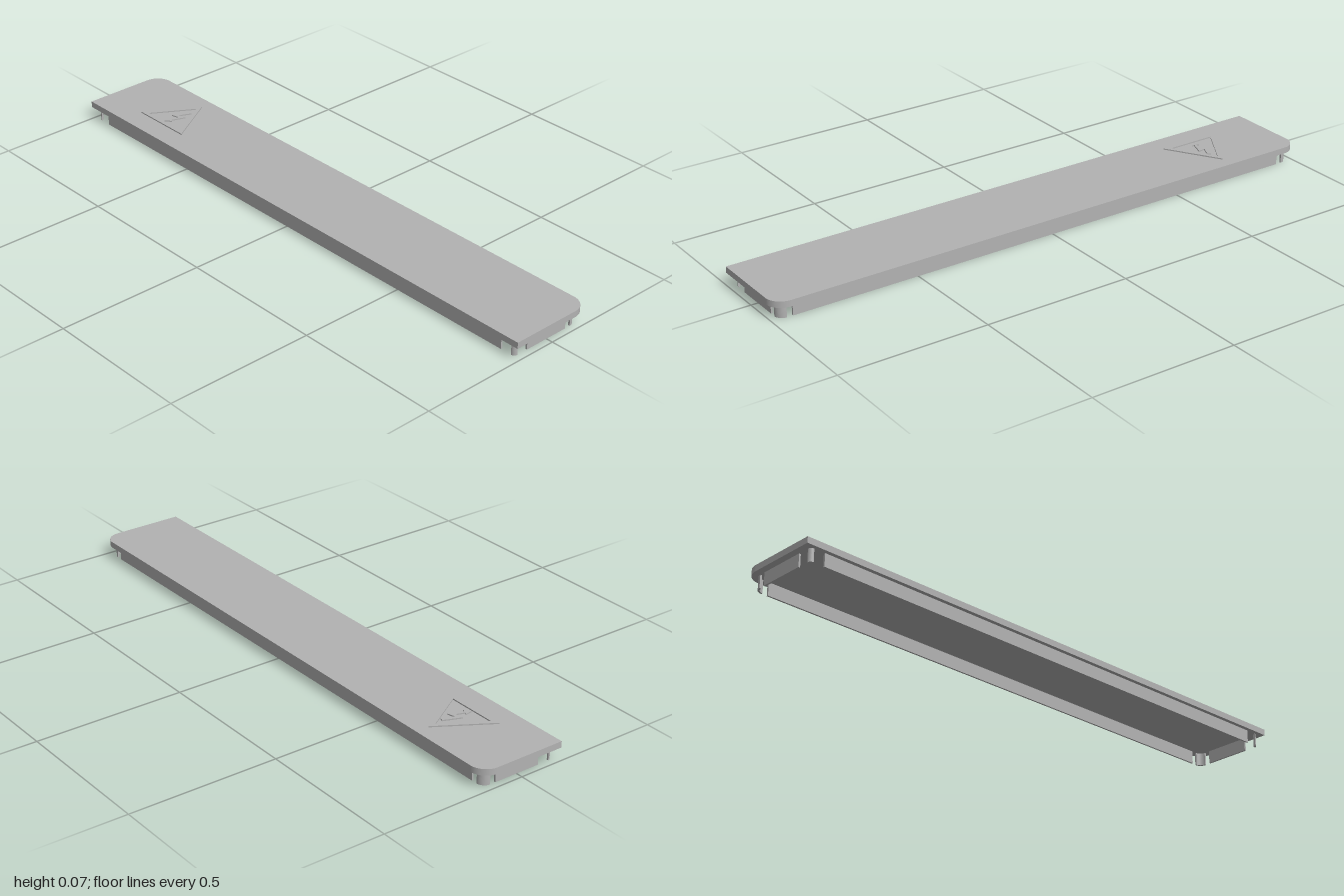
import * as THREE from 'three';

const plastic = new THREE.MeshStandardMaterial({ color: 0xb2b2b2 });
plastic.name = 'grey plastic';

// Extrudes an outline given in (x, z) between two heights
function slab(name, shape, bottom, top) {
  const geo = new THREE.ExtrudeGeometry(shape, { depth: top - bottom, bevelEnabled: false, curveSegments: 14 });
  geo.rotateX(Math.PI / 2);
  geo.translate(0, top, 0);
  const mesh = new THREE.Mesh(geo, plastic);
  mesh.name = name;
  return mesh;
}

const polygon = (points) => new THREE.Shape(points.map(([x, z]) => new THREE.Vector2(x, z)));

const rect = (x0, x1, z0, z1) => polygon([[x0, z0], [x1, z0], [x1, z1], [x0, z1]]);

// Quarter ring
function quarterRing(x, z, outer, inner, start) {
  const s = new THREE.Shape();
  s.absarc(x, z, outer, start, start + Math.PI / 2, false);
  s.absarc(x, z, inner, start + Math.PI / 2, start, true);
  s.closePath();
  return s;
}

export function createModel() {
  const group = new THREE.Group();
  group.name = 'cover';
  const under = 0.044, top = 0.065, wall = 0.006;

  // Cover plate, rounded at its two back corners
  const r = 0.055, plate = new THREE.Shape();
  plate.moveTo(-1, 0.149);
  plate.lineTo(-1, -0.149 + r);
  plate.absarc(-1 + r, -0.149 + r, r, Math.PI, Math.PI * 1.5, false);
  plate.absarc(1 - r, -0.149 + r, r, Math.PI * 1.5, Math.PI * 2, false);
  plate.lineTo(1, 0.149);
  plate.closePath();
  group.add(slab('coverPlate', plate, under, top));

  // Long locating walls
  group.add(slab('frontWall', rect(-0.925, 0.925, 0.135 - wall, 0.135), 0, under));
  group.add(slab('backWall', rect(-0.93, 0.93, -0.127, -0.127 + wall), 0, under));

  // End walls and curved corner walls on both sides
  for (const side of [-1, 1]) {
    const label = side > 0 ? 'left' : 'right';
    const a = side * 0.977, b = side * (0.977 - wall);
    group.add(slab(label + 'EndWall', rect(Math.min(a, b), Math.max(a, b), -0.08, 0.082), 0, under));
    const backStart = side > 0 ? -Math.PI / 2 : Math.PI;
    group.add(slab(label + 'BackCorner', quarterRing(side * 0.95, -0.1, 0.027, 0.021, backStart), 0, under));
    const frontStart = side > 0 ? 0 : Math.PI / 2;
    group.add(slab(label + 'FrontCorner', quarterRing(side * 0.964, 0.122, 0.013, 0.007, frontStart), 0, under));
  }

  // Raised warning triangle
  const cx = -0.71, cz = 0.014;
  const triangle = (k) => [[-0.108, 0.059], [0, -0.119], [0.108, 0.059]].map(([x, z]) => [cx + x * k, cz + z * k]);
  const frame = polygon(triangle(1));
  frame.holes.push(polygon(triangle(0.78)));
  group.add(slab('warningTriangle', frame, top - 0.002, 0.069));

  // Raised lightning bolt with an arrow tip
  const bolt = [[0.004, -0.064], [-0.02, -0.004], [0.008, -0.01], [-0.002, 0.02], [-0.01, 0.016],
    [-0.006, 0.04], [0.014, 0.024], [0.006, 0.022], [0.024, -0.026], [-0.002, -0.02], [0.016, -0.06]];
  group.add(slab('lightningBolt', polygon(bolt.map(([x, z]) => [cx + x, cz + z])), top - 0.002, 0.069));

  return group;
}
